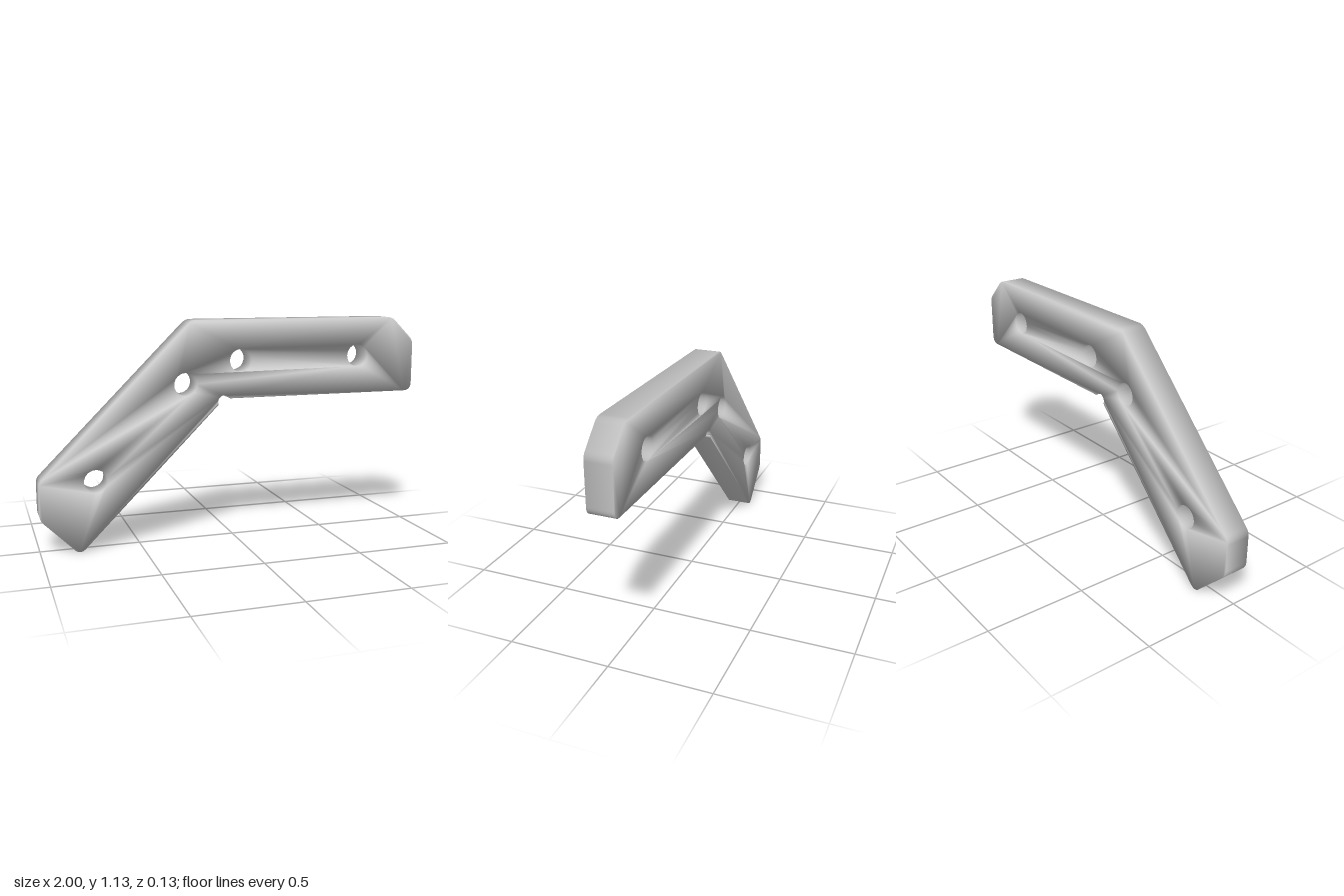
import * as THREE from 'three';
import { mergeVertices } from 'three/addons/utils/BufferGeometryUtils.js';

const THICKNESS = 0.13;
const HOLE_RADIUS = 0.058;

// Outline corners, clockwise: [x, y, length trimmed off each side to round it]
const CORNERS = [
  [-0.088, 0.707, 0.012],
  [-0.809, -0.014, 0.04],
  [-1, 0.177, 0.025],
  [-1, 0.36, 0.025],
  [-0.23, 1.13, 0.03],
  [0.873, 1.13, 0.03],
  [1, 1.005, 0.025],
  [1, 0.733, 0.045],
];
const HOLES = [[-0.723, 0.352], [-0.264, 0.812], [0.026, 0.924], [0.674, 0.932]];

// Bent plate outline with rounded corners and a relief notch at the inner bend
function plateShape() {
  const notch = { x: -0.06, y: 0.715, r: 0.035, start: 0.54 };
  const first = new THREE.Vector2(notch.x + notch.r * Math.cos(notch.start), 0.733);
  const last = new THREE.Vector2(notch.x - notch.r, notch.y);
  const points = CORNERS.map(([x, y]) => new THREE.Vector2(x, y));
  const shape = new THREE.Shape();
  shape.moveTo(first.x, first.y);
  shape.absarc(notch.x, notch.y, notch.r, notch.start, Math.PI, false);
  points.forEach((p, i) => {
    const toward = (q) => q.clone().sub(p).setLength(CORNERS[i][2]).add(p);
    const a = toward(points[i - 1] ?? last);
    const b = toward(points[i + 1] ?? first);
    shape.lineTo(a.x, a.y);
    shape.quadraticCurveTo(p.x, p.y, b.x, b.y);
  });
  shape.closePath();

  // Bolt holes, wound against the outline so their walls face inward
  for (const [x, y] of HOLES) {
    const hole = new THREE.Path();
    hole.absarc(x, y, HOLE_RADIUS, 0, Math.PI * 2, false);
    shape.holes.push(hole);
  }
  return shape;
}

// Weld faces and walls, weighting each face by its corner angle for an even soft edge
function smooth(source) {
  source.deleteAttribute('normal');
  source.deleteAttribute('uv');
  const geometry = mergeVertices(source, 1e-4);
  const position = geometry.attributes.position;
  const index = geometry.index;
  const normals = Array.from({ length: position.count }, () => new THREE.Vector3());
  for (let f = 0; f < index.count; f += 3) {
    const ids = [0, 1, 2].map((k) => index.getX(f + k));
    const p = ids.map((id) => new THREE.Vector3().fromBufferAttribute(position, id));
    const faceNormal = new THREE.Triangle(...p).getNormal(new THREE.Vector3());
    ids.forEach((id, k) => {
      const u = p[(k + 1) % 3].clone().sub(p[k]);
      const v = p[(k + 2) % 3].clone().sub(p[k]);
      normals[id].addScaledVector(faceNormal, u.angleTo(v));
    });
  }
  const values = normals.flatMap((n) => n.normalize().toArray());
  geometry.setAttribute('normal', new THREE.Float32BufferAttribute(values, 3));
  return geometry;
}

export function createModel() {
  const group = new THREE.Group();
  group.name = 'angledBracket';

  const geometry = new THREE.ExtrudeGeometry(plateShape(), {
    depth: THICKNESS, bevelEnabled: false, curveSegments: 12,
  });
  geometry.translate(0, 0, -THICKNESS / 2);

  const plate = new THREE.Mesh(smooth(geometry), new THREE.MeshStandardMaterial({ color: 0xcccccc }));
  plate.name = 'bentPlate';
  group.add(plate);
  return group;
}
